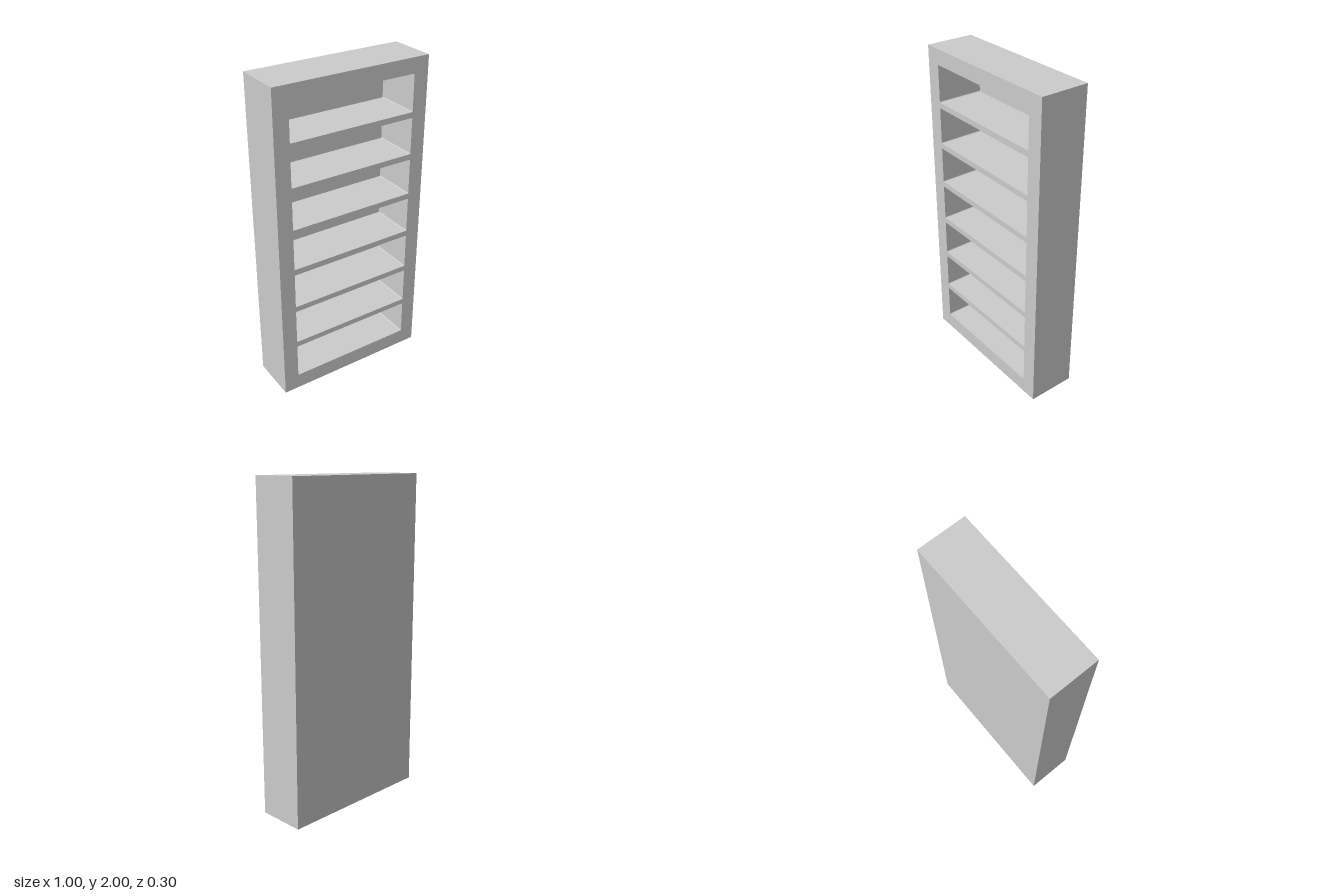
import * as THREE from 'three';

const WIDTH = 1, HEIGHT = 2, DEPTH = 0.3, BACK = 0.01;
const BAYS = 7, BAY_HALF = 0.405, BAY_HEIGHT = 0.228, BAY_PITCH = 0.263, BAY_START = 0.1;
const CORNER = 0.006;

// Rectangular opening with slightly eased corners
function opening(x0, y0, x1, y1, r) {
  const p = new THREE.Path();
  p.absarc(x1 - r, y1 - r, r, 0, Math.PI / 2);
  p.absarc(x0 + r, y1 - r, r, Math.PI / 2, Math.PI);
  p.absarc(x0 + r, y0 + r, r, Math.PI, Math.PI * 1.5);
  p.absarc(x1 - r, y0 + r, r, Math.PI * 1.5, Math.PI * 2);
  p.closePath();
  return p;
}

export function createModel() {
  const group = new THREE.Group();
  group.name = 'bookcase';
  const material = new THREE.MeshStandardMaterial({ color: 0xcccccc });

  // Carcass: sides, top, base and shelves in one slab cut by the bays
  const outline = new THREE.Shape([
    new THREE.Vector2(-WIDTH / 2, 0),
    new THREE.Vector2(WIDTH / 2, 0),
    new THREE.Vector2(WIDTH / 2, HEIGHT),
    new THREE.Vector2(-WIDTH / 2, HEIGHT),
  ]);
  for (let i = 0; i < BAYS; i++) {
    const y = BAY_START + i * BAY_PITCH;
    outline.holes.push(opening(-BAY_HALF, y, BAY_HALF, y + BAY_HEIGHT, CORNER));
  }
  const carcassGeometry = new THREE.ExtrudeGeometry(outline, {
    depth: DEPTH - BACK, bevelEnabled: false, curveSegments: 4,
  });
  const carcass = new THREE.Mesh(carcassGeometry, material);
  carcass.name = 'shelfCarcass';
  carcass.position.z = -DEPTH / 2 + BACK;
  group.add(carcass);

  // Thin panel closing the back
  const back = new THREE.Mesh(new THREE.BoxGeometry(WIDTH, HEIGHT, BACK), material);
  back.name = 'backPanel';
  back.position.set(0, HEIGHT / 2, -DEPTH / 2 + BACK / 2);
  group.add(back);

  return group;
}
